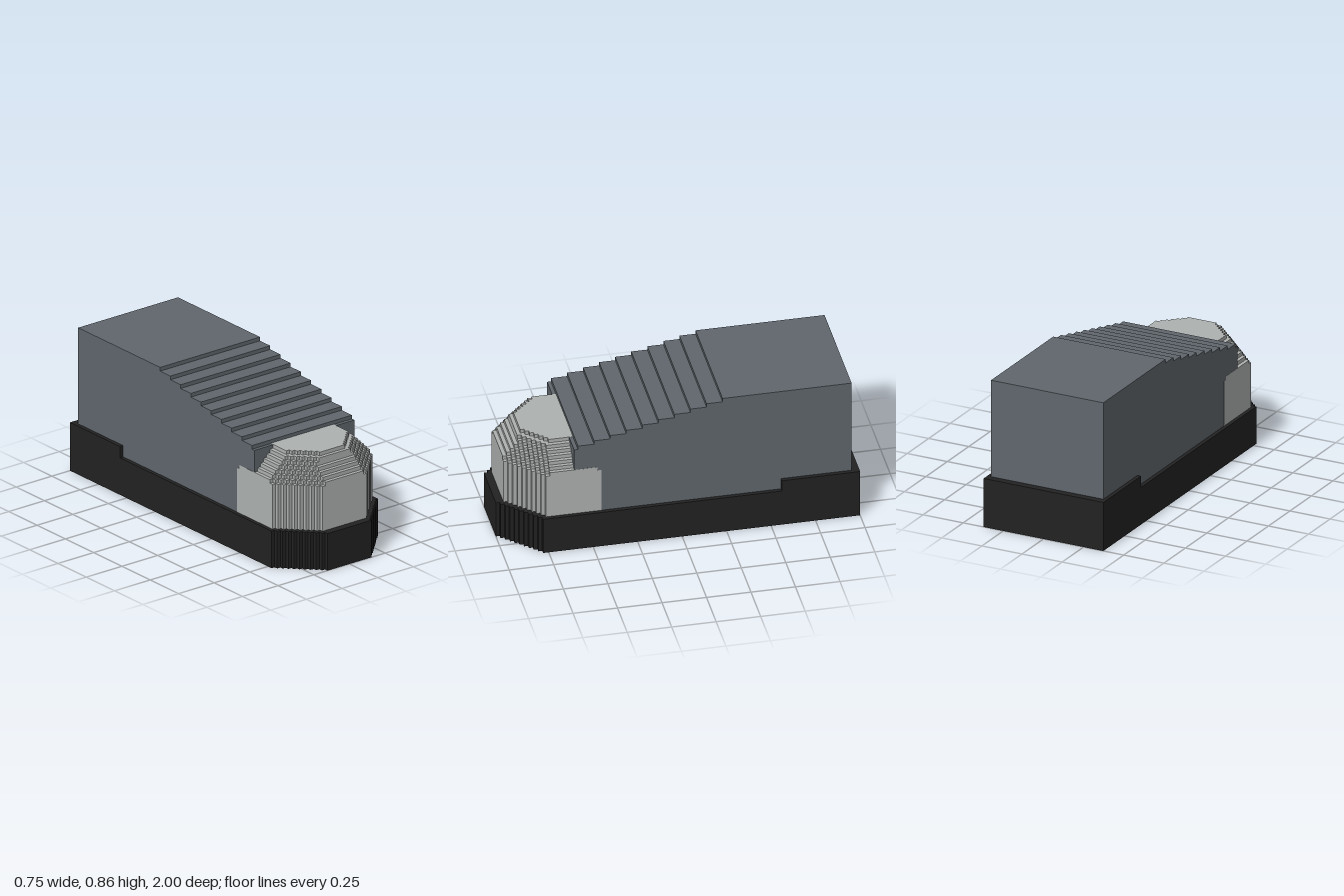
import * as THREE from 'three';

const STEP = 0.0218;
const mat = (name, color) => {
  const m = new THREE.MeshStandardMaterial({ color });
  m.name = name;
  return m;
};

// Slab with a square back and stair-stepped front corners, seen from above
function steppedSlab(halfWidth, flat, front, back, bottom, top) {
  const n = Math.max(1, Math.round((halfWidth - flat) / STEP));
  const d = (halfWidth - flat) / n;
  const right = [[flat, front]];
  for (let i = 0; i < n; i++) {
    right.push([flat + i * d, front - (i + 1) * d], [flat + (i + 1) * d, front - (i + 1) * d]);
  }
  right.push([halfWidth, back]);
  const left = right.map(([x, z]) => [-x, z]).reverse();
  const shape = new THREE.Shape([...right, ...left].map(([x, z]) => new THREE.Vector2(x, -z)));
  const geo = new THREE.ExtrudeGeometry(shape, { depth: top - bottom, bevelEnabled: false });
  return geo.rotateX(-Math.PI / 2).translate(0, bottom, 0);
}

export function createModel() {
  const model = new THREE.Group();
  model.name = 'vehicle';
  const black = mat('black', 0x222222);
  const slate = mat('slate grey', 0x5f666c);
  const pale = mat('pale grey', 0xadb1af);
  const add = (parent, name, geo, material) => {
    const mesh = new THREE.Mesh(geo, material);
    mesh.name = name;
    parent.add(mesh);
  };

  // Base skirt and its raised rear part
  add(model, 'skirt', steppedSlab(0.373, 0.155, 1, -1, 0, 0.22), black);
  add(model, 'rearSkirt', new THREE.BoxGeometry(0.746, 0.087, 0.44).translate(0, 0.2435, -0.78), black);

  // Main body: side profile with a staircase roof toward the front
  const pts = [new THREE.Vector2(-0.957, 0.2), new THREE.Vector2(-0.957, 0.858)];
  const edges = Array.from({ length: 10 }, (_, i) => -0.232 + i * 0.0903);
  edges.push(0.602);
  edges.forEach((z, i) => {
    const y = 0.858 - i * 0.0222;
    pts.push(new THREE.Vector2(z, y));
    pts.push(new THREE.Vector2(z, i < 10 ? y - 0.0222 : 0.2));
  });
  const body = new THREE.ExtrudeGeometry(new THREE.Shape(pts), { depth: 0.7, bevelEnabled: false });
  body.translate(0, 0, -0.35).rotateY(-Math.PI / 2);
  add(model, 'body', body, slate);

  // Nose: stacked layers [halfWidth, flatHalfWidth, front, back, top]
  const nose = new THREE.Group();
  nose.name = 'nose';
  model.add(nose);
  [
    [0.351, 0.155, 0.957, 0.45, 0.485],
    [0.351, 0.133, 0.957, 0.471, 0.506],
    [0.33, 0.133, 0.935, 0.58, 0.528],
    [0.309, 0.133, 0.913, 0.58, 0.55],
    [0.287, 0.132, 0.892, 0.58, 0.572],
    [0.265, 0.132, 0.87, 0.58, 0.594],
    [0.243, 0.11, 0.87, 0.58, 0.616],
    [0.22, 0.09, 0.849, 0.58, 0.638],
  ].forEach(([w, flat, front, back, top], i, all) => {
    const bottom = i ? all[i - 1][4] : 0.21;
    add(nose, 'noseLayer' + (i + 1), steppedSlab(w, flat, front, back, bottom, top), pale);
  });
  return model;
}
